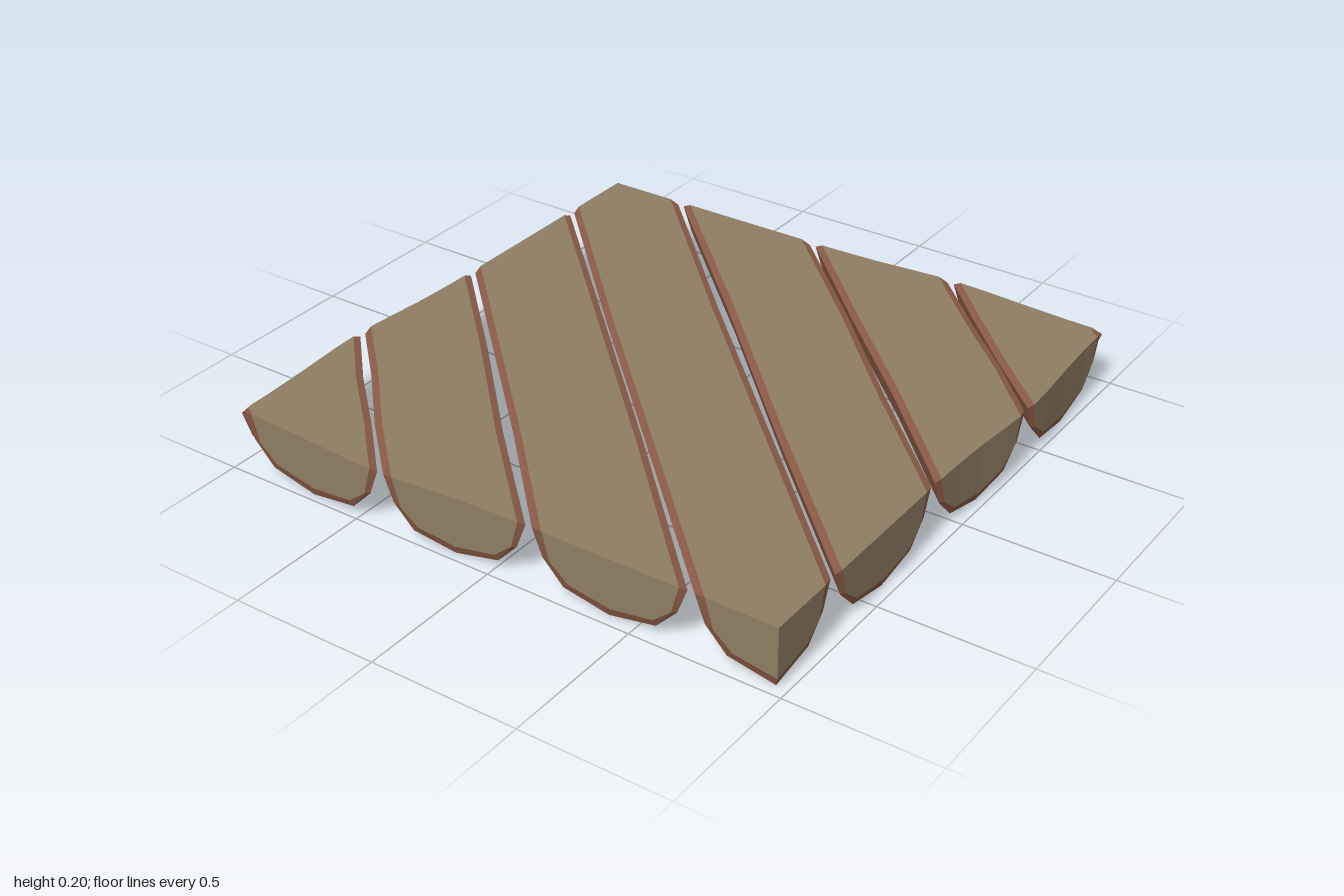
import * as THREE from 'three';

const PITCH = 0.555; // spacing of the logs, measured along the tile edge
const STEPS = [0, 0.33, 0.67, 1];

// half cross-section, mirrored to a full one: [offset, height]
const mirror = (half) => [...half.map(([u, y]) => [-u, y]), ...half.slice(0, -1).reverse()];
const INNER = mirror([[0.235, 0.2], [0.208, 0.105], [0.145, 0.053], [0, 0.03]]);
const OUTER = mirror([[0.266, 0.193], [0.232, 0.105], [0.16, 0.03], [0, 0]]);
const TOP = INNER.map(([u]) => [u, 0.2]);

// slightly uneven outline of the square tile
const edge = (c) => 0.969 + 0.029 * Math.exp(-(((Math.abs(c) - 1.42) / 0.28) ** 2));

// point on log k at fraction t of its diagonal run, trimmed to the square
function point(k, [u, y], t, inset) {
  const c = k * PITCH + u;
  const h = edge(c) - inset;
  const x0 = -h - Math.min(c, 0);
  const x1 = h - Math.max(c, 0);
  const x = x0 + (x1 - x0) * t;
  const sway = Math.sin(Math.PI * t) * 0.006 * Math.sin(k * 2.3 + t * 4);
  return [x - sway, y, x + c + sway];
}

function build(quads) {
  const pos = [];
  for (const [a, b, c, d] of quads) pos.push(...a, ...b, ...c, ...a, ...c, ...d);
  const g = new THREE.BufferGeometry();
  g.setAttribute('position', new THREE.Float32BufferAttribute(pos, 3));
  g.computeVertexNormals();
  return g;
}

// long faces between neighbouring profile points p and q
function strip(quads, at, p, q) {
  for (let s = 0; s < STEPS.length - 1; s++) {
    const [t0, t1] = [STEPS[s], STEPS[s + 1]];
    quads.push([at(p, t0), at(q, t0), at(q, t1), at(p, t1)]);
  }
}

// cut faces at both ends, between an upper and a lower profile
function caps(quads, upper, lower) {
  for (let i = 0; i < INNER.length - 1; i++) {
    const ring = (t) => [lower(i, t), lower(i + 1, t), upper(i + 1, t), upper(i, t)];
    quads.push(ring(0), ring(1).reverse());
  }
}

export function createModel() {
  const group = new THREE.Group();
  const woodMat = new THREE.MeshStandardMaterial({ color: 0x8f7d62, flatShading: true });
  const barkMat = new THREE.MeshStandardMaterial({ color: 0x8a5a46, flatShading: true });

  for (let k = -3; k <= 3; k++) {
    const top = (i, t) => point(k, TOP[i], t, 0);
    const inner = (i, t) => point(k, INNER[i], t, 0);
    const outer = (i, t) => point(k, OUTER[i], t, 0.01);
    const last = INNER.length - 1;

    // flat sawn top and cut ends
    const wood = [];
    for (let i = 0; i < last; i++) strip(wood, top, i, i + 1);
    caps(wood, top, inner);

    // faceted bark underneath, with bevelled rims
    const bark = [];
    for (let i = 0; i < last; i++) strip(bark, outer, i + 1, i);
    caps(bark, inner, outer);
    const rim = ([isOuter, i], t) => (isOuter ? outer : inner)(i, t);
    strip(bark, rim, [true, 0], [false, 0]);
    strip(bark, rim, [false, last], [true, last]);

    const log = new THREE.Group();
    log.name = 'halfLog';
    const woodMesh = new THREE.Mesh(build(wood), woodMat);
    woodMesh.name = 'sawnWood';
    const barkMesh = new THREE.Mesh(build(bark), barkMat);
    barkMesh.name = 'bark';
    log.add(woodMesh, barkMesh);
    group.add(log);
  }
  return group;
}
